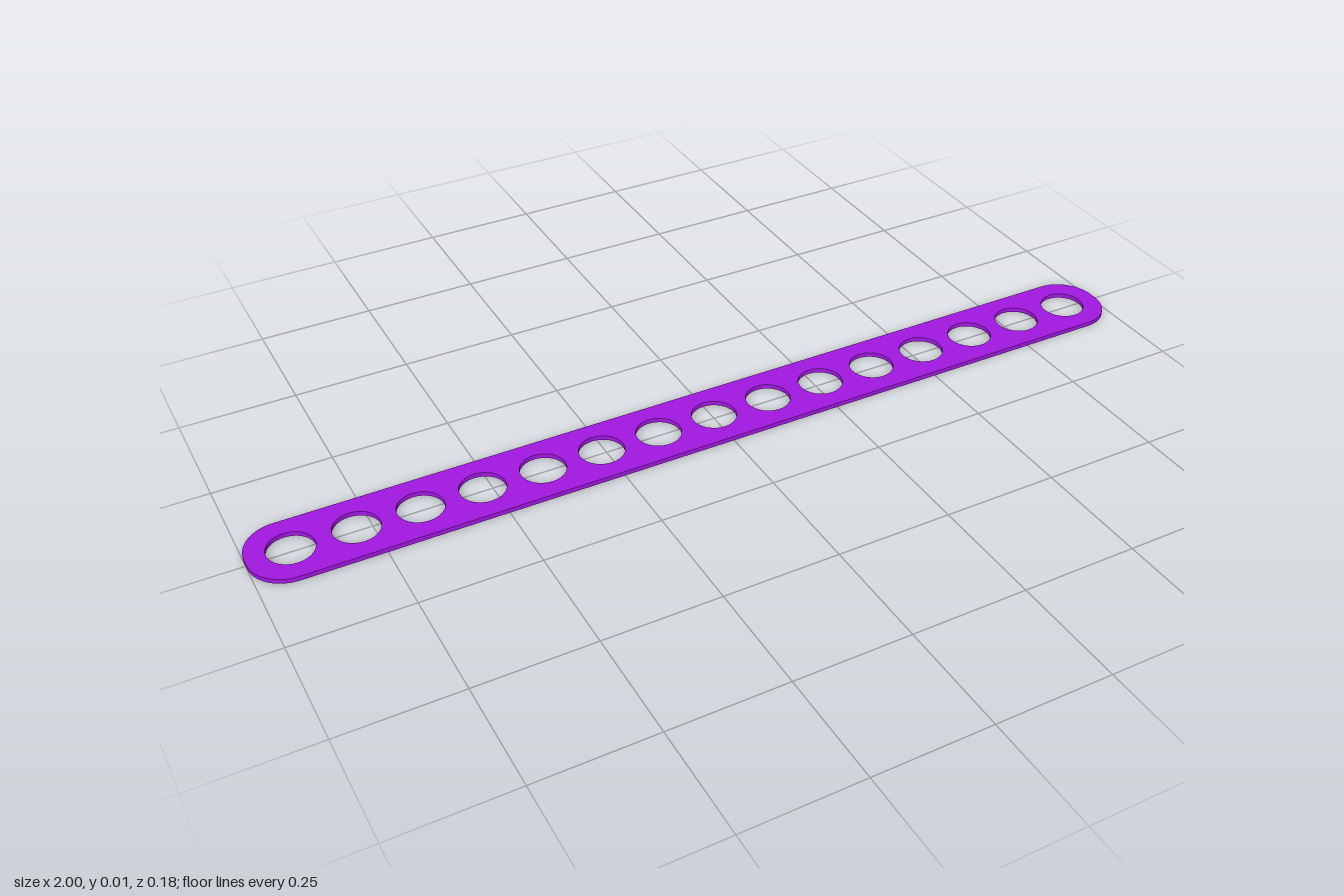
import * as THREE from 'three';

const HALF_LENGTH = 1, HALF_WIDTH = 0.088, CORNER = 0.08, THICKNESS = 0.01;
const HOLES = 15, PITCH = 0.1303, HOLE_RADIUS = 0.048;

export function createModel() {
  const purple = new THREE.MeshStandardMaterial({ color: 0xa218e2 });
  purple.name = 'purple';

  // Outline with rounded ends
  const outline = new THREE.Shape();
  const cx = HALF_LENGTH - CORNER, cy = HALF_WIDTH - CORNER;
  [[cx, cy], [-cx, cy], [-cx, -cy], [cx, -cy]].forEach(([x, y], i) =>
    outline.absarc(x, y, CORNER, i * Math.PI / 2, (i + 1) * Math.PI / 2, false));
  outline.closePath();

  // Evenly spaced round holes
  for (let i = 0; i < HOLES; i++) {
    const hole = new THREE.Path();
    hole.absarc((i - (HOLES - 1) / 2) * PITCH, 0, HOLE_RADIUS, 0, Math.PI * 2, true);
    outline.holes.push(hole);
  }

  // Lay the plate flat on the ground
  const geometry = new THREE.ExtrudeGeometry(outline, {
    depth: THICKNESS, bevelEnabled: false, curveSegments: 16,
  });
  geometry.rotateX(-Math.PI / 2);

  const strip = new THREE.Mesh(geometry, purple);
  strip.name = 'perforatedStrip';

  const model = new THREE.Group();
  model.name = 'constructionStrip';
  model.add(strip);
  return model;
}
